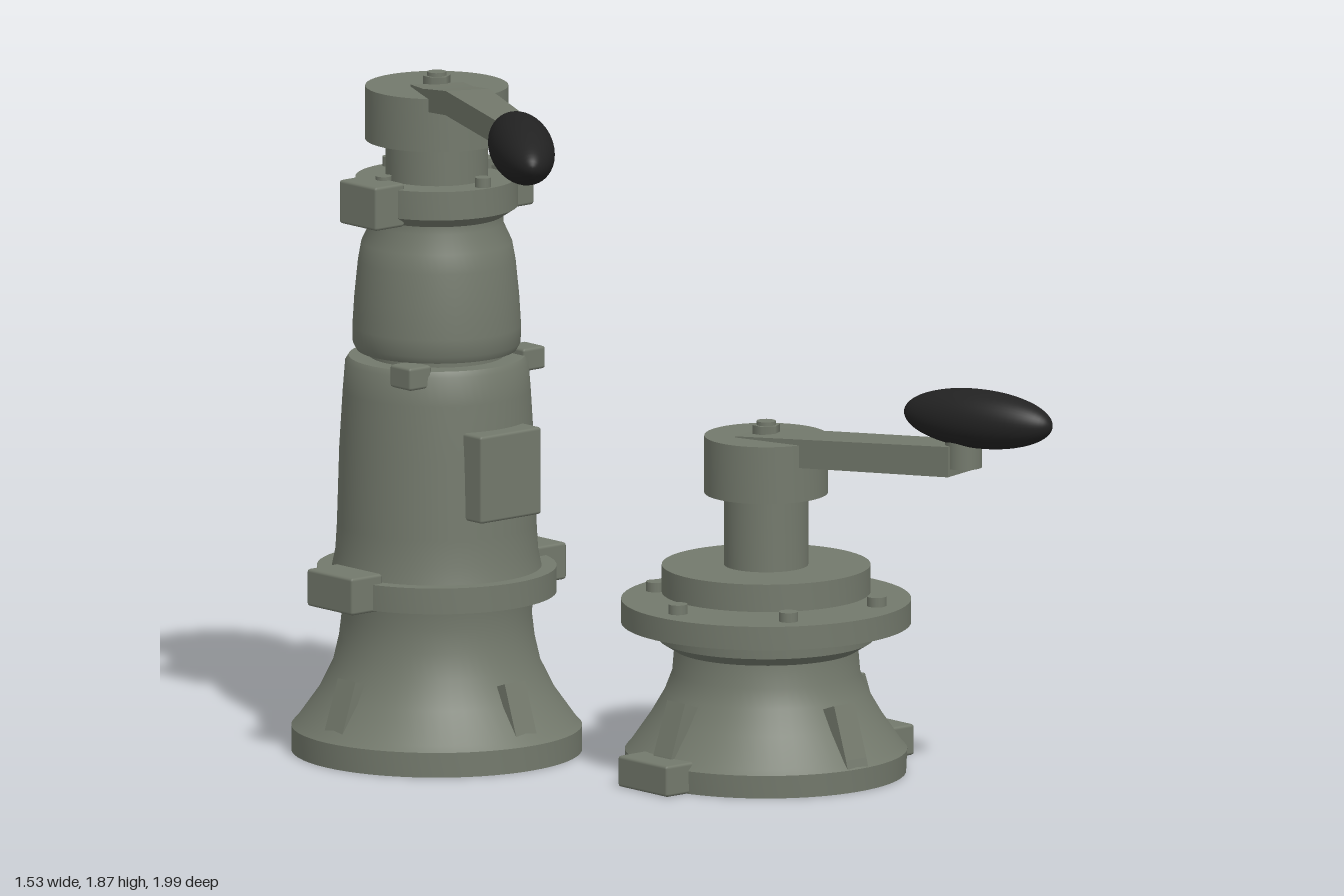
import * as THREE from 'three';
import { toCreasedNormals } from 'three/addons/utils/BufferGeometryUtils.js';
import { RoundedBoxGeometry } from 'three/addons/geometries/RoundedBoxGeometry.js';

const paint = new THREE.MeshStandardMaterial({ color: 0x73796c });
paint.name = 'greyGreenPaint';
const rubber = new THREE.MeshStandardMaterial({ color: 0x222222 });
rubber.name = 'blackGrip';

function add(parent, name, geometry, x = 0, y = 0, z = 0, material = paint) {
  const mesh = new THREE.Mesh(geometry, material);
  mesh.name = name;
  mesh.position.set(x, y, z);
  parent.add(mesh);
  return mesh;
}

// Turned part from [radius, height] pairs, listed from bottom to top
function turned(parent, name, profile) {
  const points = profile.map(([r, y]) => new THREE.Vector2(r, y));
  return add(parent, name, toCreasedNormals(new THREE.LatheGeometry(points, 64), 0.5));
}

// Block given by its centre and size, with slightly softened edges
function block(parent, name, x, y, z, w, h, d) {
  return add(parent, name, new RoundedBoxGeometry(w, h, d, 1, 0.008), x, y, z);
}

// Four sloping ribs around the foot
function ribs(parent) {
  const shape = new THREE.Shape([
    [0.2, 0.06], [0.362, 0.06], [0.355, 0.085], [0.308, 0.222], [0.265, 0.207], [0.2, 0.19],
  ].map(([r, y]) => new THREE.Vector2(r, y)));
  const geometry = new THREE.ExtrudeGeometry(shape, { depth: 0.07, bevelEnabled: false });
  geometry.translate(0, 0, -0.035);
  for (let i = 0; i < 4; i++) add(parent, 'footRib', geometry).rotation.y = i * Math.PI / 2;
}

function bolts(parent, count, ring, y, radius) {
  const geometry = new THREE.CylinderGeometry(radius, radius, 0.025, 16);
  for (let i = 0; i < count; i++) {
    const a = i / count * Math.PI * 2;
    add(parent, 'flangeBolt', geometry, ring * Math.cos(a), y + 0.0125, ring * Math.sin(a));
  }
}

// Hexagonal nut with a stud end on the head
function nut(parent, y) {
  add(parent, 'headNut', new THREE.CylinderGeometry(0.036, 0.036, 0.026, 6), 0, y + 0.013, 0);
  add(parent, 'headStud', new THREE.CylinderGeometry(0.025, 0.025, 0.036, 16), 0, y + 0.018, 0);
}

// Lever running along +z, rows: [distance, top, bottom, half width]
function lever(parent, rows, dx, dz) {
  const n = rows.length - 1;
  const geometry = new THREE.BoxGeometry(1, 1, 1, 1, 1, n);
  const p = geometry.attributes.position;
  for (let i = 0; i < p.count; i++) {
    const [t, top, bottom, half] = rows[Math.round((p.getZ(i) + 0.5) * n)];
    p.setXYZ(i, Math.sign(p.getX(i)) * half, p.getY(i) > 0 ? top : bottom, t);
  }
  const mesh = add(parent, 'leverArm', toCreasedNormals(geometry, 0.1));
  mesh.rotation.y = Math.atan2(dx, dz);
}

// Egg-shaped handle
function grip(parent, x, y, z, length, radius, dx, dz) {
  const geometry = new THREE.SphereGeometry(1, 40, 28);
  geometry.rotateX(Math.PI / 2);
  geometry.scale(radius, radius, length);
  add(parent, 'handleGrip', geometry, x, y, z, rubber).rotation.y = Math.atan2(dx, dz);
}

function tallPedestal() {
  const g = new THREE.Group();
  g.name = 'tallPedestal';
  g.position.set(-0.115, 0, -0.622);
  turned(g, 'foot', [[0, 0], [0.376, 0], [0.376, 0.065], [0.362, 0.08], [0.305, 0.16],
    [0.268, 0.235], [0.253, 0.3], [0.246, 0.36], [0.25, 0.405], [0.262, 0.417], [0, 0.417]]);
  turned(g, 'lowerFlange', [[0, 0.417], [0.31, 0.417], [0.31, 0.485], [0.27, 0.485], [0, 0.487]]);
  turned(g, 'lowerBody', [[0, 0.48], [0.272, 0.48], [0.262, 0.53], [0.258, 0.6], [0.252, 0.8],
    [0.243, 0.95], [0.237, 1.025], [0.228, 1.04], [0, 1.04]]);
  turned(g, 'bodyJoint', [[0, 1.03], [0.175, 1.03], [0.175, 1.07], [0, 1.07]]);
  turned(g, 'upperBody', [[0, 1.057], [0.207, 1.057], [0.217, 1.075], [0.218, 1.12], [0.213, 1.2],
    [0.204, 1.29], [0.195, 1.34], [0.172, 1.39], [0.172, 1.415], [0, 1.415]]);
  turned(g, 'upperFlange', [[0, 1.41], [0.172, 1.41], [0.21, 1.435], [0.21, 1.51], [0, 1.51]]);
  turned(g, 'neck', [[0, 1.5], [0.133, 1.5], [0.133, 1.62], [0, 1.62]]);
  turned(g, 'head', [[0, 1.61], [0.185, 1.61], [0.185, 1.75], [0, 1.75]]);
  ribs(g);
  bolts(g, 4, 0.182, 1.51, 0.021);
  nut(g, 1.75);
  block(g, 'frontPlate', 0, 0.765, 0.255, 0.208, 0.23, 0.08);
  for (const s of [-1, 1]) {
    block(g, 'upperLug', s * 0.222, 1.468, 0, 0.1, 0.115, 0.147);
    block(g, 'lowerLug', s * 0.315, 0.461, 0, 0.106, 0.098, 0.18);
    block(g, 'bodyTab', s * 0.195, 1.027, 0.122, 0.075, 0.06, 0.082);
  }
  lever(g, [[0, 1.755, 1.70, 0.07], [0.12, 1.767, 1.708, 0.067],
    [0.33, 1.802, 1.738, 0.058], [0.84, 1.82, 1.756, 0.045]], -0.455, 0.89);
  grip(g, -0.488, 1.785, 0.895, 0.267, 0.082, -0.57, 0.82);
  return g;
}

function shortPedestal() {
  const g = new THREE.Group();
  g.name = 'shortPedestal';
  g.position.set(0.34, 0, 0.152);
  turned(g, 'foot', [[0, 0], [0.362, 0], [0.365, 0.06], [0.352, 0.075], [0.3, 0.15],
    [0.262, 0.215], [0.243, 0.265], [0.238, 0.325], [0.278, 0.35], [0.28, 0.395], [0, 0.395]]);
  turned(g, 'wideFlange', [[0, 0.393], [0.375, 0.393], [0.375, 0.455], [0, 0.455]]);
  turned(g, 'discPin', [[0.03, 0.45], [0.03, 0.48]]);
  turned(g, 'upperDisc', [[0, 0.473], [0.27, 0.473], [0.27, 0.545], [0, 0.545]]);
  turned(g, 'stem', [[0, 0.54], [0.109, 0.54], [0.109, 0.74], [0, 0.74]]);
  turned(g, 'head', [[0, 0.735], [0.16, 0.735], [0.16, 0.885], [0, 0.885]]);
  ribs(g);
  bolts(g, 6, 0.302, 0.455, 0.025);
  nut(g, 0.887);
  for (const s of [-1, 1]) block(g, 'footLug', s * 0.365, 0.041, 0, 0.12, 0.082, 0.195);
  lever(g, [[-0.05, 0.888, 0.815, 0.07], [0.6, 0.93, 0.85, 0.06]], 0.273, 0.962);
  add(g, 'gripPost', new THREE.CylinderGeometry(0.048, 0.048, 0.1, 24), 0.163, 0.92, 0.59);
  grip(g, 0.172, 1.003, 0.638, 0.217, 0.077, 0.33, 0.944);
  return g;
}

export function createModel() {
  const model = new THREE.Group();
  model.name = 'leverPedestals';
  model.add(tallPedestal(), shortPedestal());
  return model;
}
